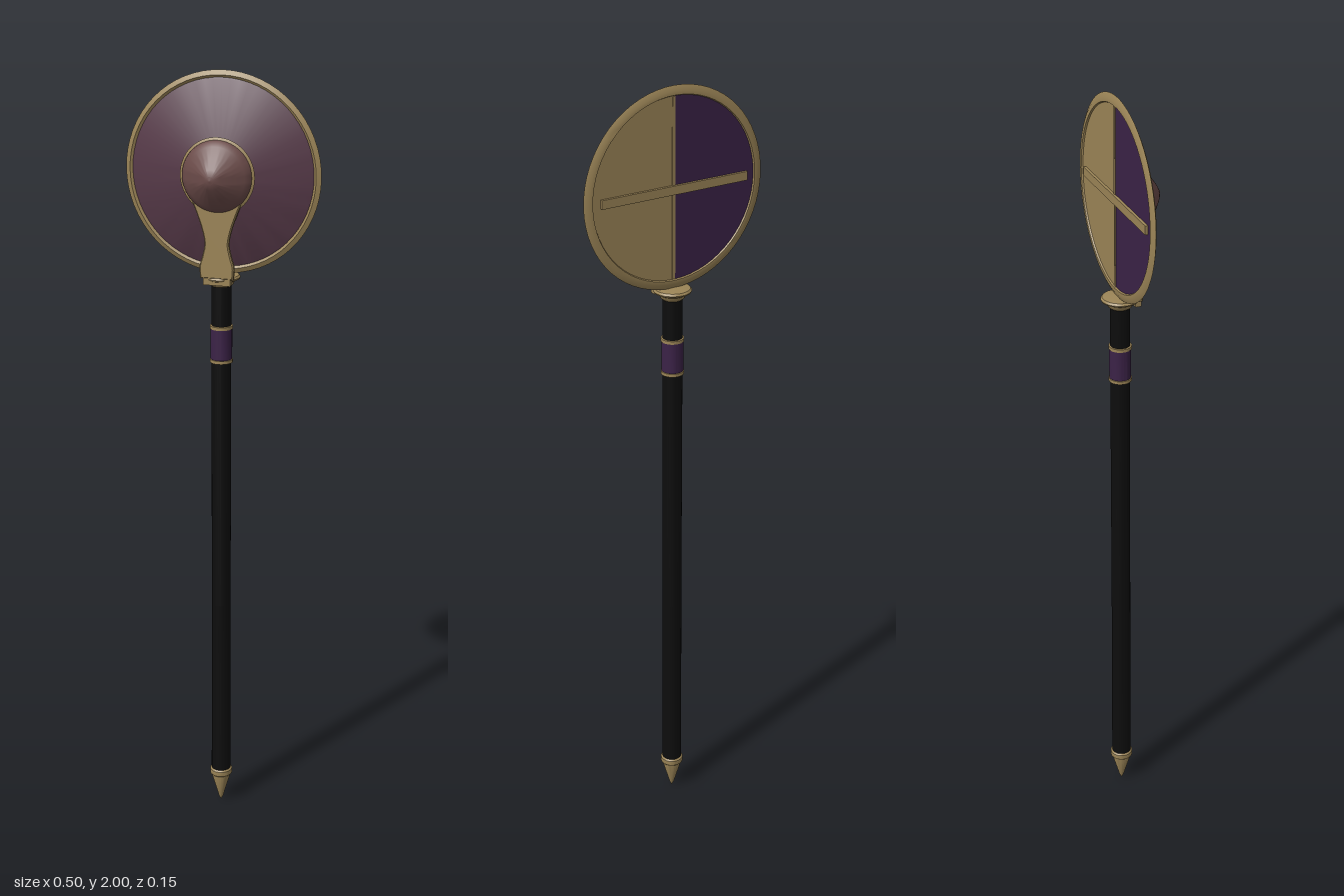
import * as THREE from 'three';
import { toCreasedNormals } from 'three/addons/utils/BufferGeometryUtils.js';

const material = (name, color) => {
  const m = new THREE.MeshStandardMaterial({ color });
  m.name = name;
  return m;
};

export function createModel() {
  const gold = material('antique gold', 0x9c8557);
  const plum = material('dusky plum', 0x573a49);
  const brown = material('warm brown', 0x6b4b49);
  const purple = material('deep purple', 0x3b2247);
  const black = material('black', 0x0d0d0d);

  const group = new THREE.Group();
  const AXIS_Z = -0.029; // staff axis
  const DISC_Y = 1.75;   // disc centre

  const add = (name, geometry, mat, x = 0, y = 0, z = 0, parent = group) => {
    const mesh = new THREE.Mesh(geometry, mat);
    mesh.name = name;
    mesh.position.set(x, y, z);
    parent.add(mesh);
    return mesh;
  };
  const lathe = (points, sides, crease = 0.5) =>
    toCreasedNormals(new THREE.LatheGeometry(points.map(([r, h]) => new THREE.Vector2(r, h)), sides), crease);

  // Staff parts, turned about the upright axis
  const turned = (name, points, mat, sides = 24) =>
    add(name, lathe(points, sides), mat, 0, 0, AXIS_Z);
  turned('shaft', [[0, 0.09], [0.026, 0.09], [0.025, 0.6], [0.025, 1.485], [0, 1.485]], black);
  turned('tip', [[0, 0], [0.006, 0.012], [0.026, 0.083], [0.03, 0.087], [0.03, 0.1], [0.026, 0.104], [0, 0.104]], gold);
  turned('gripBand', [[0.025, 1.278], [0.0275, 1.28], [0.0275, 1.36], [0.025, 1.362]], purple);
  for (const y of [1.275, 1.363]) {
    turned('bandRing', [[0.024, y - 0.005], [0.029, y - 0.004], [0.029, y + 0.004], [0.024, y + 0.005]], gold);
  }
  turned('collar', [[0.025, 1.47], [0.03, 1.474], [0.034, 1.483], [0.046, 1.489], [0.048, 1.493], [0.044, 1.498], [0, 1.503]], gold, 32);

  // Disc head, turned about the z axis
  const disc = new THREE.Group();
  disc.name = 'discHead';
  disc.position.y = DISC_Y;
  group.add(disc);
  const facing = (name, points, mat, crease) =>
    add(name, lathe(points, 64, crease).rotateX(Math.PI / 2), mat, 0, 0, 0, disc);

  facing('rim', [[0.225, -0.037], [0.228, -0.043], [0.238, -0.043], [0.25, -0.037], [0.238, -0.031], [0.231, -0.036]], gold);
  facing('discFront', [[0.233, -0.036], [0.228, -0.033], [0.09, -0.002], [0.075, 0.003]], plum);
  facing('bossRing', [[0.08, -0.003], [0.092, 0.003], [0.095, 0.007], [0.09, 0.01], [0.08, 0.012]], gold);
  facing('boss', [[0.089, 0.008], [0.087, 0.016], [0.075, 0.026], [0.05, 0.045], [0.025, 0.062], [0.01, 0.07], [0, 0.074]], brown, 0.7);

  // Two-colour back
  const half = (name, start, mat) =>
    add(name, new THREE.CircleGeometry(0.228, 40, start, Math.PI).rotateY(Math.PI), mat, 0, 0, -0.039, disc);
  half('backHalfLeft', Math.PI / 2, gold);
  half('backHalfRight', -Math.PI / 2, purple);
  add('backDivider', new THREE.BoxGeometry(0.008, 0.45, 0.004), gold, 0.004, 0, -0.039, disc);
  add('backBar', new THREE.BoxGeometry(0.41, 0.022, 0.009), gold, 0, 0, -0.0415, disc);

  // Waisted bracket joining collar to boss
  const right = [[0.042, 1.495], [0.044, 1.525], [0.036, 1.555], [0.031, 1.585], [0.038, 1.62], [0.05, 1.655], [0.062, 1.685]];
  const left = right.map(([x, y]) => [-x, y]).reverse();
  const outline = new THREE.Shape();
  outline.moveTo(...right[0]);
  outline.splineThru(right.slice(1).map(p => new THREE.Vector2(...p)));
  outline.lineTo(...left[0]);
  outline.splineThru(left.slice(1).map(p => new THREE.Vector2(...p)));
  outline.closePath();
  const plate = new THREE.ExtrudeGeometry(outline, {
    depth: 0.008, curveSegments: 24, bevelThickness: 0.003, bevelSize: 0.003, bevelOffset: -0.003, bevelSegments: 1,
  });
  add('bracket', plate, gold, 0, 0, 0.004);
  // Foot of the bracket, resting on the collar
  add('bracketFoot', new THREE.BoxGeometry(0.07, 0.022, 0.016), gold, 0, 1.49, 0.006);

  return group;
}
